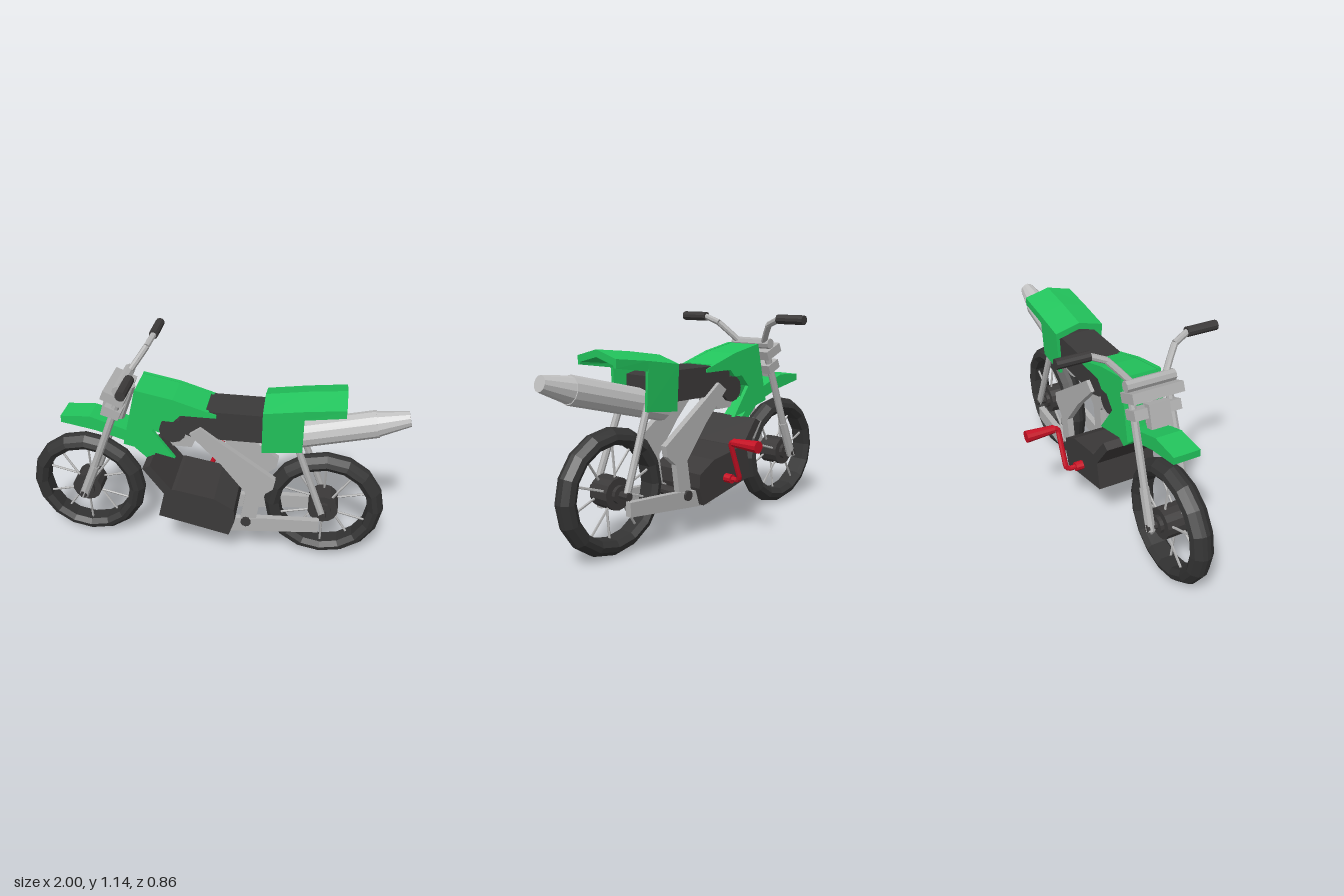
import * as THREE from 'three';

const mat = (name, color) => {
  const m = new THREE.MeshStandardMaterial({ color, flatShading: true });
  m.name = name;
  return m;
};

export function createModel() {
  const rubber = mat('black rubber', 0x333333);
  const dark = mat('dark grey', 0x3b3939);
  const silver = mat('silver', 0xb0b0b0);
  const light = mat('light silver', 0xc2c2c2);
  const green = mat('green', 0x22c45c);
  const red = mat('red', 0xc81024);

  const model = new THREE.Group();
  model.name = 'motorbike';
  model.position.z = 0.006;
  const V = (x, y, z) => new THREE.Vector3(x, y, z);

  function add(name, geo, material, parent = model) {
    const m = new THREE.Mesh(geo, material);
    m.name = name;
    parent.add(m);
    return m;
  }
  // side-view outline, extruded across the bike from z0 to z1
  function slab(name, pts, z0, z1, material) {
    const shape = new THREE.Shape(pts.map(p => new THREE.Vector2(p[0], p[1])));
    const geo = new THREE.ExtrudeGeometry(shape, { depth: z1 - z0, bevelEnabled: false });
    geo.translate(0, 0, z0);
    return add(name, geo, material);
  }
  // cylinder or cone between two points
  function rod(name, a, b, ra, rb, material, sides = 8, parent = model) {
    const d = b.clone().sub(a);
    const m = add(name, new THREE.CylinderGeometry(rb, ra, d.length(), sides), material, parent);
    m.position.copy(a).addScaledVector(d, 0.5);
    m.quaternion.setFromUnitVectors(V(0, 1, 0), d.normalize());
    return m;
  }
  function box(name, size, pos, tilt, material) {
    const m = add(name, new THREE.BoxGeometry(...size), material);
    m.position.set(...pos);
    m.rotation.z = tilt;
    return m;
  }

  // wheels
  function wheel(name, x) {
    const g = new THREE.Group();
    g.name = name;
    g.position.set(x, 0.318, 0);
    model.add(g);
    const profile = [[0.235, -0.04], [0.262, -0.06], [0.288, -0.052], [0.312, -0.022], [0.317, 0],
      [0.312, 0.022], [0.288, 0.052], [0.262, 0.06], [0.235, 0.04], [0.235, -0.04]];
    const tyre = new THREE.LatheGeometry(profile.map(p => new THREE.Vector2(p[0], p[1])), 16);
    tyre.rotateX(Math.PI / 2);
    add('tyre', tyre, rubber, g);
    rod('hub', V(0, 0, -0.06), V(0, 0, 0.06), 0.08, 0.08, dark, 14, g);
    rod('hubCap', V(0, 0, -0.08), V(0, 0, 0.08), 0.045, 0.045, dark, 12, g);
    rod('axle', V(0, 0, -0.135), V(0, 0, 0.135), 0.02, 0.02, dark, 8, g);
    for (let i = 0; i < 10; i++) {
      const a = (i + 0.5) * Math.PI / 5, s = i % 2 ? 1 : -1;
      rod('spoke', V(0.06 * Math.cos(a), 0.06 * Math.sin(a), s * 0.035),
        V(0.245 * Math.cos(a), 0.245 * Math.sin(a), s * 0.015), 0.0065, 0.0065, silver, 5, g);
    }
  }
  wheel('frontWheel', -0.69);
  wheel('rearWheel', 0.6);

  // mirrored parts on both sides
  for (const s of [-1, 1]) {
    const pair = (z0, z1) => s > 0 ? [z0, z1] : [-z1, -z0];
    rod('forkLower', V(-0.695, 0.3, s * 0.112), V(-0.615, 0.5, s * 0.107), 0.025, 0.025, silver);
    rod('forkUpper', V(-0.64, 0.44, s * 0.108), V(-0.46, 0.92, s * 0.1), 0.02, 0.02, silver);
    rod('rearShock', V(0.6, 0.31, s * 0.113), V(0.44, 0.73, s * 0.095), 0.018, 0.018, silver);

    slab('framePlate', [[-0.1, 0.752], [-0.045, 0.792], [0.06, 0.715], [0.345, 0.515], [0.335, 0.46],
      [0.275, 0.41], [0.245, 0.2], [0.16, 0.2], [0.195, 0.42], [0.06, 0.59]], ...pair(0.085, 0.12), silver);
    slab('swingArm', [[0.025, 0.16], [0.13, 0.168], [0.585, 0.213], [0.585, 0.285], [0.3, 0.27],
      [0.1, 0.25], [0.03, 0.2]], ...pair(0.092, 0.125), silver);
    slab('tankShroud', [[-0.377, 0.973], [-0.184, 0.936], [0.035, 0.868], [0.035, 0.85], [-0.147, 0.85],
      [-0.185, 0.81], [-0.24, 0.812], [-0.297, 0.75], [-0.18, 0.592], [-0.45, 0.655]],
      ...pair(0.085, 0.107), green);

    // handlebar
    const bar = [V(-0.457, 0.965, s * 0.08), V(-0.41, 1.03, s * 0.135), V(-0.375, 1.08, s * 0.18),
      V(-0.355, 1.112, s * 0.26)];
    for (let i = 0; i < 3; i++) rod('handlebar', bar[i], bar[i + 1], 0.017, 0.017, silver);
    rod('grip', V(-0.355, 1.112, s * 0.255), V(-0.355, 1.112, s * 0.423), 0.025, 0.025, dark, 10);
  }
  rod('pivotBolt', V(0.2, 0.24, -0.135), V(0.2, 0.24, 0.135), 0.027, 0.027, dark, 10);

  // steering head
  box('upperClamp', [0.12, 0.05, 0.27], [-0.485, 0.925, 0], -0.4, silver);
  box('lowerClamp', [0.09, 0.05, 0.25], [-0.5, 0.84, 0], -0.4, silver);
  rod('barClamp', V(-0.457, 0.97, -0.13), V(-0.457, 0.97, 0.13), 0.029, 0.029, silver, 8);
  box('headstock', [0.045, 0.12, 0.11], [-0.542, 0.838, 0], -0.3, silver);
  rod('steeringTube', V(-0.5, 0.76, 0), V(-0.43, 0.95, 0), 0.035, 0.035, silver, 8);

  // front mudguard and its rear strut
  slab('frontFender', [[-0.79, 0.77], [-0.634, 0.78], [-0.44, 0.716], [-0.4, 0.67], [-0.45, 0.652],
    [-0.607, 0.7], [-0.79, 0.733]], -0.07, 0.07, green);
  slab('downTube', [[-0.45, 0.655], [-0.38, 0.66], [-0.297, 0.575], [-0.34, 0.553]], -0.065, 0.065, green);

  // fuel tank, saddle and the airbox below them
  slab('tank', [[-0.377, 0.97], [-0.184, 0.934], [-0.02, 0.885], [-0.02, 0.86], [-0.147, 0.85],
    [-0.24, 0.812], [-0.3, 0.75], [-0.33, 0.68], [-0.45, 0.66]], -0.086, 0.086, green);
  slab('seat', [[-0.147, 0.84], [-0.06, 0.88], [0.3, 0.88], [0.4, 0.86], [0.4, 0.725], [-0.08, 0.725],
    [-0.147, 0.745]], -0.1, 0.1, dark);
  rod('airbox', V(-0.195, 0.742, -0.08), V(-0.195, 0.742, 0.08), 0.07, 0.07, dark, 12);
  slab('airboxMount', [[-0.245, 0.72], [-0.2, 0.64], [-0.1, 0.64], [-0.06, 0.73], [-0.12, 0.8],
    [-0.22, 0.78]], -0.06, 0.06, silver);

  // engine and its front slab
  slab('engine', [[-0.262, 0.262], [-0.225, 0.433], [-0.17, 0.438], [0.035, 0.402], [0.14, 0.342],
    [0.145, 0.27], [0.115, 0.176]], -0.157, 0.174, dark);
  slab('engineFront', [[-0.34, 0.555], [-0.3, 0.577], [-0.185, 0.43], [-0.225, 0.4]], -0.157, 0.174, dark);

  // tail: hollow peaked cover built from cross-sections
  const tail = (x, ridge, eave, low, zl) => [[x, low, zl], [x, eave, 0.137], [x, ridge, 0],
    [x, eave, -0.137], [x, low, -zl]];
  const inner = (x, ridge, eave, low, zl) => [[x, low, zl - 0.015], [x, eave - 0.03, 0.117],
    [x, ridge - 0.035, 0], [x, eave - 0.03, -0.117], [x, low, -zl + 0.015]];
  function shell(name, a, b) {
    const pos = [], A = tail(...a), B = tail(...b), C = inner(...a), D = inner(...b);
    const quad = (p, q, r, s) => pos.push(...p, ...q, ...r, ...p, ...r, ...s);
    for (let i = 0; i < 4; i++) {
      quad(A[i], B[i], B[i + 1], A[i + 1]);
      quad(C[i + 1], D[i + 1], D[i], C[i]);
      quad(A[i], A[i + 1], C[i + 1], C[i]);
      quad(B[i + 1], B[i], D[i], D[i + 1]);
    }
    quad(A[0], C[0], D[0], B[0]);
    quad(A[4], B[4], D[4], C[4]);
    const geo = new THREE.BufferGeometry();
    geo.setAttribute('position', new THREE.Float32BufferAttribute(pos, 3));
    geo.computeVertexNormals();
    add(name, geo, green);
  }
  shell('tailSidePanels', [0.268, 0.952, 0.915, 0.68, 0.122], [0.47, 0.982, 0.945, 0.702, 0.122]);
  shell('tailCover', [0.47, 0.982, 0.945, 0.895, 0.133], [0.668, 1.003, 0.968, 0.925, 0.135]);

  // exhaust
  rod('silencer', V(0.255, 0.69, 0), V(0.83, 0.833, 0), 0.072, 0.07, light, 12);
  rod('silencerTip', V(0.825, 0.832, 0), V(0.982, 0.876, 0), 0.066, 0.039, light, 12);

  // kick starter on the right side
  const kz = -0.15;
  rod('kickBase', V(-0.06, 0.29, kz), V(-0.06, 0.29, kz - 0.05), 0.025, 0.025, red, 10);
  const path = new THREE.CurvePath();
  const k = [V(-0.06, 0.29, kz), V(-0.06, 0.29, -0.225), V(-0.053, 0.315, -0.252),
    V(0.015, 0.485, -0.255), V(0.022, 0.512, -0.28), V(0.022, 0.512, -0.31)];
  path.add(new THREE.LineCurve3(k[0], k[1]));
  path.add(new THREE.QuadraticBezierCurve3(k[1], V(-0.06, 0.29, -0.25), k[2]));
  path.add(new THREE.LineCurve3(k[2], k[3]));
  path.add(new THREE.QuadraticBezierCurve3(k[3], V(0.022, 0.51, -0.255), k[4]));
  path.add(new THREE.LineCurve3(k[4], k[5]));
  add('kickArm', new THREE.TubeGeometry(path, 32, 0.014, 8, false), red);
  rod('kickPedal', V(0.022, 0.508, -0.278), V(0.022, 0.508, -0.436), 0.022, 0.032, red, 10);

  return model;
}
